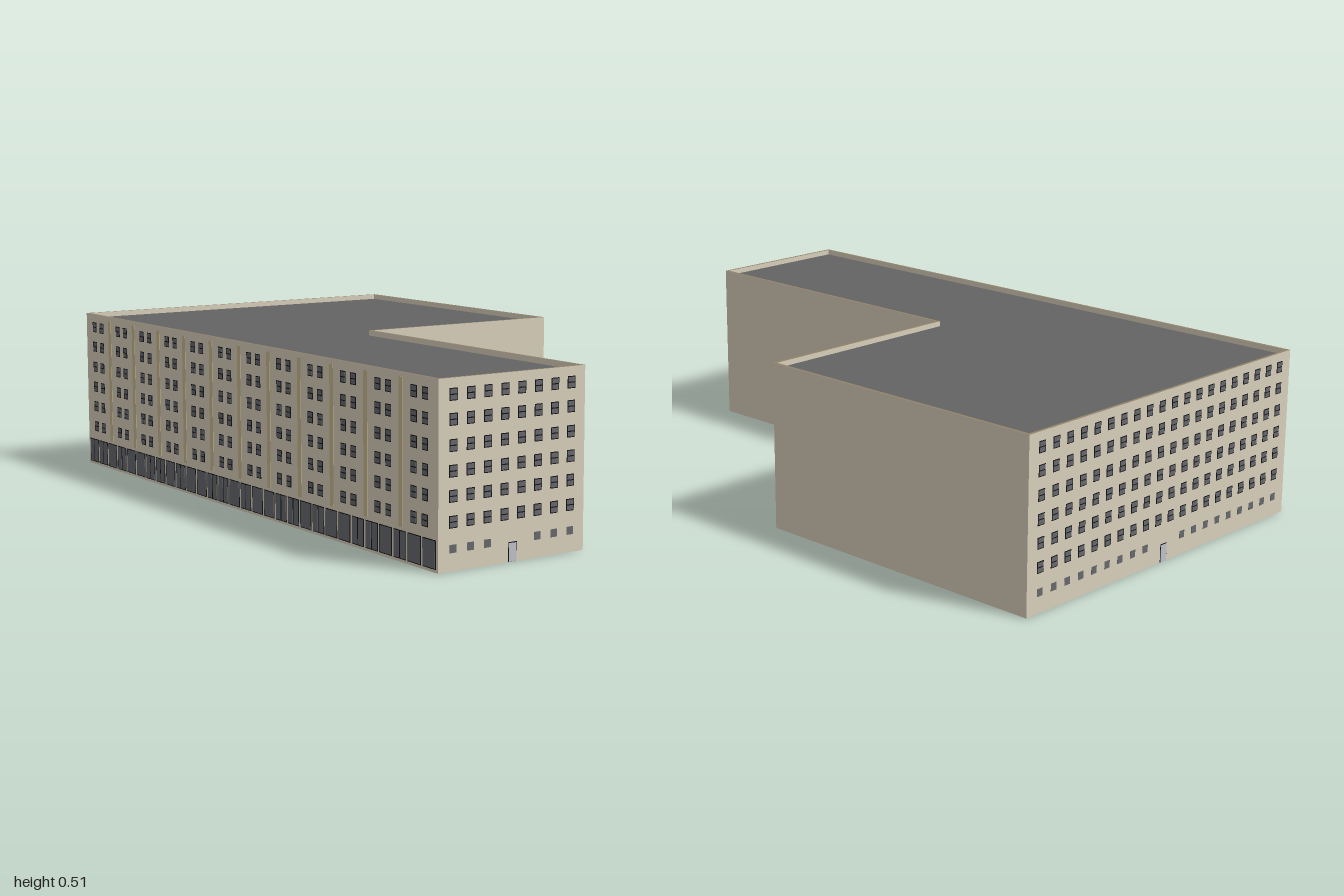
import * as THREE from 'three';
import { mergeGeometries } from 'three/addons/utils/BufferGeometryUtils.js';

const HEIGHT = 0.508, ROOF_Y = 0.492;
const X = 0.998, Z = 0.585, NOTCH_X = -0.012, NOTCH_Z = 0.097;
const ROWS = [0.131, 0.199, 0.265, 0.332, 0.4, 0.465];

// L-shaped footprint, inset by d, as (x, -z) points
function footprint(d) {
  return [
    [-X + d, -Z + d], [X - d, -Z + d], [X - d, -NOTCH_Z - d],
    [NOTCH_X - d, -NOTCH_Z - d], [NOTCH_X - d, Z - d], [-X + d, Z - d],
  ].map(([x, y]) => new THREE.Vector2(x, y));
}

// Thin plate centred at (u, y) on a facade, from just inside the wall out to depth w
function plate(u, y, width, height, w, back = -0.001) {
  return new THREE.BoxGeometry(width, height, w - back).translate(u, y, (w + back) / 2);
}

export function createModel() {
  const mat = (name, color, side = THREE.FrontSide) => {
    const m = new THREE.MeshStandardMaterial({ color, side });
    m.name = name;
    return m;
  };
  const wall = mat('stone wall', 0xd9d0bb);
  const coping = mat('brown coping', 0x94846a);
  const roofMat = mat('grey roof', 0x636365);
  const lining = mat('inner lining', 0xcacaca, THREE.DoubleSide);
  const stripe = mat('tan pilaster', 0xc9b98f);
  const frame = mat('dark frame', 0x141418);
  const glass = mat('window glass', 0x67686d);
  const doorMat = mat('pale door', 0xc0c1ca);

  const model = new THREE.Group();
  model.name = 'cornerBuilding';
  const add = (parent, name, geometry, material) => {
    const mesh = new THREE.Mesh(geometry, material);
    mesh.name = name;
    parent.add(mesh);
  };

  // Outer walls with a low parapet, open below
  const ring = new THREE.Shape(footprint(0));
  ring.holes.push(new THREE.Path(footprint(0.009)));
  const walls = new THREE.ExtrudeGeometry(ring, { depth: HEIGHT, bevelEnabled: false });
  add(model, 'walls', walls.rotateX(-Math.PI / 2), [coping, wall]);

  // Flat roof with a pale ceiling under it
  const roof = new THREE.ShapeGeometry(new THREE.Shape(footprint(0.008))).rotateX(-Math.PI / 2);
  add(model, 'roof', roof.clone().translate(0, ROOF_Y, 0), roofMat);
  add(model, 'ceiling', roof.translate(0, ROOF_Y - 0.002, 0), lining);

  // Lining on the inside of the walls
  const corners = footprint(0.01);
  add(model, 'innerLining', mergeGeometries(corners.map((a, i) => {
    const b = corners[(i + 1) % corners.length];
    return new THREE.PlaneGeometry(a.distanceTo(b), ROOF_Y - 0.002)
      .rotateY(Math.atan2(b.y - a.y, b.x - a.x))
      .translate((a.x + b.x) / 2, ROOF_Y / 2 - 0.001, -(a.y + b.y) / 2);
  })), lining);

  // Framed windows with a crossbar: each has two panes
  function addWindows(group, columns) {
    const frames = [], panes = [];
    for (const u of columns) for (const y of ROWS) {
      frames.push(plate(u, y, 0.026, 0.033, 0.001));
      for (const s of [-1, 1]) panes.push(plate(u, y + s * 0.0078, 0.0215, 0.0125, 0.0016));
    }
    add(group, 'windowFrames', mergeGeometries(frames), frame);
    add(group, 'windowPanes', mergeGeometries(panes), glass);
  }

  function facade(name, x, z, turn) {
    const group = new THREE.Group();
    group.name = name;
    group.position.set(x, 0, z);
    group.rotation.y = turn;
    model.add(group);
    return group;
  }

  // Front: twelve bays with paired windows, parted by pilasters
  const front = facade('frontFacade', 0, Z, 0);
  const bay = 2 * X / 12, frontColumns = [], pilasters = [];
  for (let i = 0; i < 12; i++) {
    const u = -X + (i + 0.5) * bay;
    frontColumns.push(u - 0.025, u + 0.025);
    if (i > 0) pilasters.push(plate(u - bay / 2, 0.295, 0.018, 0.4, 0.001));
  }
  addWindows(front, frontColumns);
  add(front, 'pilasters', mergeGeometries(pilasters), stripe);

  // Shopfronts: thirty bays, half of them split into two leaves
  const shopFrames = [], shopPanes = [], step = 2 * (X - 0.006) / 30;
  for (let i = 0; i < 30; i++) {
    const u = -X + 0.006 + (i + 0.5) * step;
    shopFrames.push(plate(u, 0.047, 0.058, 0.078, 0.001));
    if ([0, 1, 3].includes(i % 6)) {
      for (const s of [-1, 1]) shopPanes.push(plate(u + s * 0.0145, 0.047, 0.024, 0.073, 0.0016));
    } else shopPanes.push(plate(u, 0.047, 0.053, 0.073, 0.0016));
  }
  add(front, 'shopFrames', mergeGeometries(shopFrames), frame);
  add(front, 'shopPanes', mergeGeometries(shopPanes), glass);

  // Ends: even window columns, small ground windows and one door
  function endFacade(name, x, z, turn, count) {
    const group = facade(name, x, z, turn);
    const columns = Array.from({ length: count }, (_, i) => (i - (count - 1) / 2) * 0.0561);
    addWindows(group, columns);
    const small = columns.filter(u => Math.abs(u) > 0.04).map(u => plate(u, 0.06, 0.022, 0.022, 0.001));
    add(group, 'groundWindows', mergeGeometries(small), glass);
    add(group, 'doorFrame', plate(0, 0.027, 0.028, 0.054, 0.001, -0.013), frame);
    add(group, 'door', plate(0, 0.026, 0.025, 0.051, 0.002), doorMat);
  }
  endFacade('leftFacade', X, (Z + NOTCH_Z) / 2, Math.PI / 2, 8);
  endFacade('rightFacade', -X, 0, -Math.PI / 2, 20);

  return model;
}
